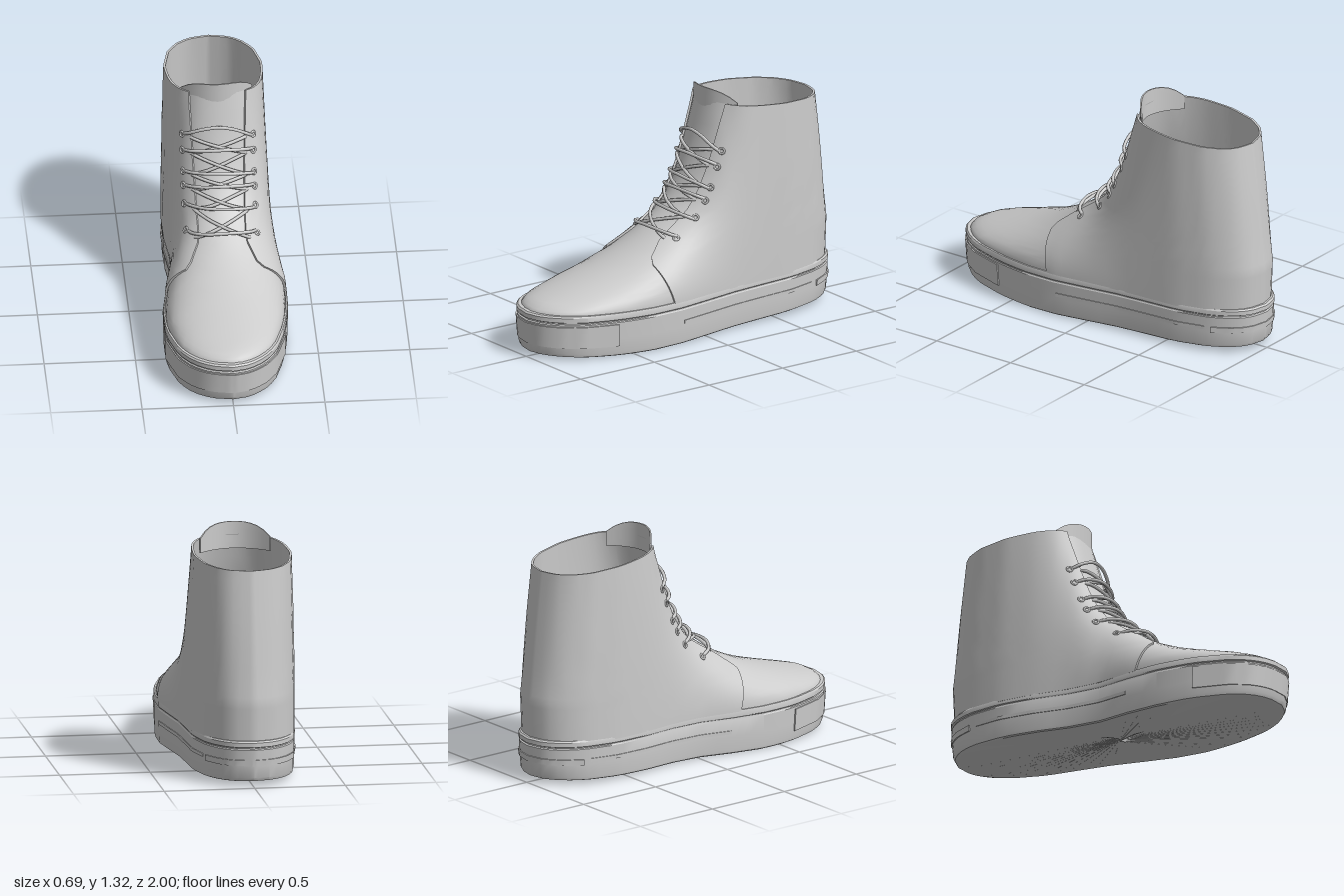
import * as THREE from 'three';
import { mergeGeometries, mergeVertices, toCreasedNormals } from 'three/addons/utils/BufferGeometryUtils.js';

const V = (x, y, z) => new THREE.Vector3(x, y, z);
const mat = new THREE.MeshStandardMaterial({ color: 0xcccccc, side: THREE.DoubleSide });
const lerp = THREE.MathUtils.lerp;

// Sole outline: z, half width towards -x, half width towards +x
const OUTLINE = [
  [-1, 0, 0], [-0.98, 0.09, 0.09], [-0.95, 0.14, 0.14], [-0.9, 0.19, 0.185], [-0.8, 0.245, 0.24],
  [-0.6, 0.285, 0.283], [-0.4, 0.285, 0.29], [-0.2, 0.265, 0.3], [0, 0.27, 0.325], [0.2, 0.315, 0.348],
  [0.4, 0.345, 0.343], [0.6, 0.34, 0.31], [0.8, 0.285, 0.25], [0.9, 0.22, 0.185], [0.95, 0.16, 0.13],
  [0.98, 0.1, 0.08], [1, 0, 0],
];
// Instep profile (z, y) from the ankle down to the toe, continued above the collar
const INSTEP = [
  [-1, 6], [-0.5, 3], [-0.3, 1.75], [-0.25, 1.45], [-0.2, 1.25], [-0.15, 1.05], [-0.1, 0.9], [-0.05, 0.8], [0, 0.72],
  [0.1, 0.63], [0.2, 0.56], [0.3, 0.5], [0.45, 0.43], [0.6, 0.38], [0.8, 0.325], [0.9, 0.298], [0.955, 0.27], [0.975, 0.24],
];
const FRONT = INSTEP.map(([z, y]) => [y, z]).reverse();
const BACK = [[0.24, -0.965], [0.47, -0.975], [0.6, -0.96], [0.9, -0.93], [1.25, -0.892]];
const LEVELS = [0.24, 0.255, 0.27, 0.285, 0.298, 0.312, 0.325, 0.34, 0.36, 0.385, 0.41, 0.44, 0.47, 0.5, 0.54,
  0.58, 0.63, 0.68, 0.74, 0.8, 0.88, 0.96, 1.04, 1.12, 1.19, 1.25];

function interp(table, v, col = 1) {
  if (v <= table[0][0]) return table[0][col];
  for (let i = 1; i < table.length; i++) {
    const a = table[i - 1], b = table[i];
    if (v <= b[0]) return lerp(a[col], b[col], (v - a[0]) / (b[0] - a[0]));
  }
  return table[table.length - 1][col];
}
const outline = (z, side) => interp(OUTLINE, z, side < 0 ? 1 : 2);

// Half width of the upper at height y and depth z
function halfWidth(y, z, side) {
  const b = interp(BACK, y);
  const zo = z < -0.4 ? -0.4 - 0.6 * (-0.4 - z) / (-0.4 - b) : z > 0 ? z / 0.975 : z;
  const r = y <= 0.24 ? 0 : Math.min(1, (y - 0.24) / Math.max(1e-6, interp(INSTEP, z) - 0.24));
  return outline(zo, side) * 0.96 * Math.sqrt(1 - r * r);
}
// Depth of the upper's front at height y and distance x from the middle
function depthAt(y, x, side) {
  let lo = -0.5, hi = interp(FRONT, y);
  for (let i = 0; i < 30; i++) {
    const m = (lo + hi) / 2;
    if (halfWidth(y, m, side) > x) lo = m; else hi = m;
  }
  return lo;
}
// Point on the upper; the collar drops slightly towards the heel
function upperPoint(y, z, side) {
  const k = ((y - 0.24) / 1.01) ** 2;
  return V(side * halfWidth(y, z, side), y - 0.06 * k * Math.max(0, (-0.2 - z) / 0.7), z);
}

// Surface through rows of points
function sheet(rows) {
  const n = rows[0].length, idx = [];
  for (let j = 0; j < rows.length - 1; j++) for (let i = 0; i < n - 1; i++) {
    const a = j * n + i, d = a + n;
    idx.push(a, a + 1, d + 1, a, d + 1, d);
  }
  const g = new THREE.BufferGeometry().setFromPoints(rows.flat());
  g.setIndex(idx);
  return g;
}
function smooth(g) {
  g = mergeVertices(g, 1e-5);
  g.computeVertexNormals();
  return g;
}
// Sheet with thickness and closed rims
function shell(rows, t) {
  const g = sheet(rows), n = rows[0].length;
  g.computeVertexNormals();
  const nor = g.attributes.normal;
  const outer = rows.map((r, j) => r.map((p, i) =>
    p.clone().addScaledVector(V(0, 0, 0).fromBufferAttribute(nor, j * n + i), t)));
  const col = (m, i) => m.map((r) => r[i]);
  const last = rows.length - 1;
  const parts = [
    sheet(outer), sheet(rows.map((r) => [...r].reverse())),
    sheet([rows[0], outer[0]]), sheet([outer[last], rows[last]]),
    sheet([col(outer, 0), col(rows, 0)]), sheet([col(rows, n - 1), col(outer, n - 1)]),
  ];
  return toCreasedNormals(mergeGeometries(parts), 0.6);
}

// Point on the sole wall; angle 0 is the toe, PI the heel
function solePoint(a, s, y) {
  const z = Math.cos(a), side = Math.sin(a) < 0 ? -1 : 1;
  const lift = z > 0.4 ? 0.02 * ((z - 0.4) / 0.6) ** 2 : 0.03 * (0.4 - z) / 1.4;
  return V(side * outline(z, side) * s, y + lift * (1 - y * 2.4), z * s);
}
const wallScale = (y) => lerp(0.985, 1, Math.min(1, y / 0.2));

export function createModel() {
  const group = new THREE.Group();
  const add = (name, geo, parent = group) => {
    const m = new THREE.Mesh(geo, mat);
    m.name = name;
    parent.add(m);
    return m;
  };

  // Sole: underside, wall, raised rim and footbed
  const profile = [[0, 0], [0.95, 0], [0.975, 0.006], [0.985, 0.025], [0.992, 0.1], [0.997, 0.195], [0.988, 0.2],
    [0.988, 0.207], [1, 0.212], [1, 0.238], [0.99, 0.247], [0.968, 0.247], [0.962, 0.238], [0, 0.238]];
  const N = 64;
  const soleRows = profile.map(([s, y]) =>
    Array.from({ length: N + 1 }, (_, i) => solePoint(-Math.PI + (i / N) * 2 * Math.PI, s, y)));
  add('sole', toCreasedNormals(mergeVertices(sheet(soleRows), 1e-5), 0.5));

  // Raised panels on the sole wall
  const band = (name, a0, a1, y0, y1, t) => {
    const rows = [y0, y1].map((y) => Array.from({ length: 33 }, (_, i) =>
      solePoint(lerp(a0, a1, i / 32), wallScale(y) - 0.003, y)));
    add(name, shell(rows, t));
  };
  band('toeBumper', -Math.acos(0.6), Math.acos(0.6), 0.06, 0.185, 0.007);
  band('heelStrip', Math.acos(-0.8), 2 * Math.PI - Math.acos(-0.8), 0.1, 0.135, 0.007);
  band('leftSideStrip', Math.acos(0.18), Math.acos(-0.76), 0.115, 0.135, 0.005);
  band('rightSideStrip', -Math.acos(-0.76), -Math.acos(0.18), 0.115, 0.135, 0.005);

  // Toe cap and lining: rings running from the heel round the toe and back
  const S = 26;
  const bodyRows = LEVELS.map((y) => {
    const b = interp(BACK, y), f = interp(FRONT, y);
    return Array.from({ length: 2 * S + 1 }, (_, i) => {
      const z = lerp(b, f, (1 - Math.cos(Math.PI * i / S)) / 2);
      return upperPoint(y, z, i < S ? -1 : 1);
    });
  });
  add('toeCapAndLining', smooth(sheet(bodyRows)));

  // Quarters: outer layer from the lacing edges round the heel
  const edgeZ = (y, side) => {
    if (y < 0.45) return lerp(0.24, 0.3, (y - 0.24) / 0.21);
    const x = y < 0.55 ? lerp(0.19, 0.125, (y - 0.45) / 0.1) : lerp(0.125, 0.15, (y - 0.55) / 0.7);
    return depthAt(y, x, side);
  };
  const quarterRows = LEVELS.map((y) => Array.from({ length: 2 * S + 1 }, (_, i) => {
    const side = i < S ? 1 : -1;
    const z = lerp(interp(BACK, y), edgeZ(y, side), (1 - Math.cos(Math.PI * Math.abs(i - S) / S)) / 2);
    return upperPoint(y, z, side);
  }));
  add('quarters', shell(quarterRows, 0.012));

  // Tongue tip standing above the collar
  const tongueRows = [0, 0.35, 0.7, 1].map((v) => Array.from({ length: 13 }, (_, i) => {
    const u = i / 6 - 1;
    return V(u * 0.19, lerp(1.17, 1.32 - 0.02 * u * u - 0.05 * u ** 4, v), -0.198 - 0.1 * u * u);
  }));
  add('tongue', shell(tongueRows, 0.008));

  // Eyelets
  const rowsY = [0.55, 0.645, 0.73, 0.8, 0.91, 0.995];
  const eyeX = 0.185;
  const eyelets = new THREE.Group();
  eyelets.name = 'eyelets';
  group.add(eyelets);
  for (const y of rowsY) for (const side of [-1, 1]) {
    const z = depthAt(y, eyeX, side);
    const du = V(side * halfWidth(y, z - 0.01, side), y, z - 0.01).sub(V(side * halfWidth(y, z + 0.01, side), y, z + 0.01));
    const dv = V(side * (halfWidth(y + 0.01, z, side) - halfWidth(y - 0.01, z, side)), 0.02, 0);
    const n = du.cross(dv).normalize().multiplyScalar(side);
    if (n.x * side < 0) n.negate();
    const e = add('eyelet', new THREE.TorusGeometry(0.015, 0.006, 6, 14), eyelets);
    e.position.set(side * eyeX, y, z).addScaledVector(n, 0.013);
    e.quaternion.setFromUnitVectors(V(0, 0, 1), n);
  }

  // Laces: arched rows over crossed diagonals
  const laces = new THREE.Group();
  laces.name = 'laces';
  group.add(laces);
  const lace = (y0, y1, reach, rise, lift) => {
    const pts = [-1, -0.85, -0.45, 0, 0.45, 0.85, 1].map((u) => {
      const y = lerp(y0, y1, (u + 1) / 2) + rise * (1 - u * u);
      const x = u * reach, end = Math.abs(u) === 1 ? 0.012 : lift;
      return V(x, y + end * 0.5, depthAt(y, Math.abs(x), u < 0 ? -1 : 1) + end * 0.85);
    });
    add('lace', new THREE.TubeGeometry(new THREE.CatmullRomCurve3(pts), 28, 0.0095, 7), laces);
  };
  rowsY.forEach((y, i) => {
    const top = i === rowsY.length - 1;
    lace(y, y + (i % 2 ? -0.008 : 0.008), eyeX, top ? 0.075 : 0.03, 0.034);
    if (!top) {
      lace(y, rowsY[i + 1], 0.15, 0.01, 0.017);
      lace(rowsY[i + 1], y, 0.15, 0.01, 0.021);
    }
  });
  return group;
}
